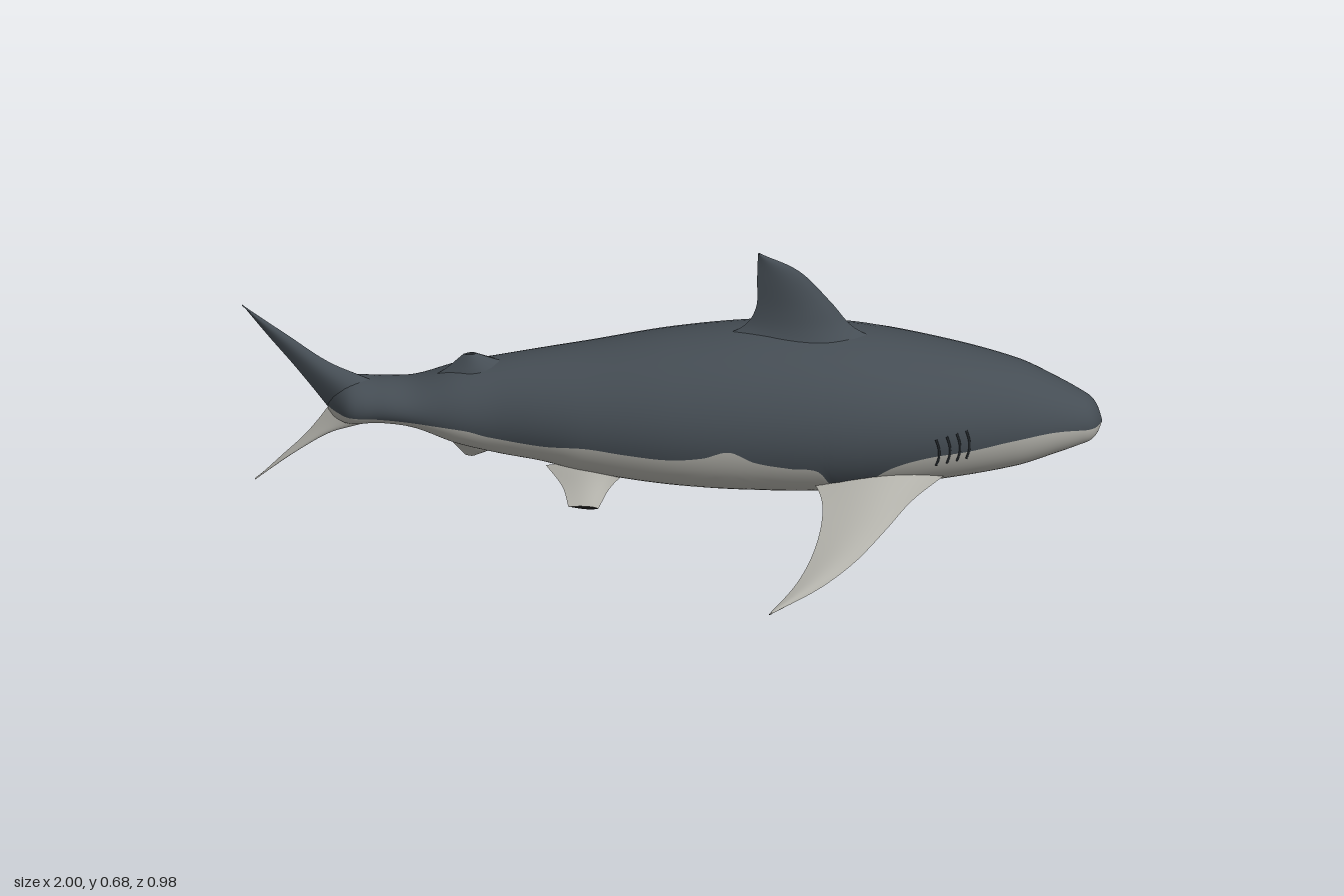
import * as THREE from 'three';

const mat = (name, color, side = THREE.FrontSide) => {
  const m = new THREE.MeshStandardMaterial({ color, side });
  m.name = name;
  return m;
};

// Smooth interpolation of a table whose rows are [x, a, b, ...] with rising x
function sample(table, x, col) {
  const last = table.length - 1;
  let i = 0;
  while (i < last - 1 && x > table[i + 1][0]) i++;
  const slope = k => {
    const a = table[Math.max(k - 1, 0)], b = table[Math.min(k + 1, last)];
    return (b[col] - a[col]) / (b[0] - a[0]);
  };
  const p = table[i], q = table[i + 1], h = q[0] - p[0];
  const t = THREE.MathUtils.clamp((x - p[0]) / h, 0, 1), t2 = t * t, t3 = t2 * t;
  return (2 * t3 - 3 * t2 + 1) * p[col] + (t3 - 2 * t2 + t) * h * slope(i)
    + (3 * t2 - 2 * t3) * q[col] + (t3 - t2) * h * slope(i + 1);
}

// Body stations: x, top, bottom, half width
const BODY = [
  [-0.80, 0.262, 0.245, 0.003], [-0.785, 0.30, 0.225, 0.025], [-0.75, 0.325, 0.215, 0.06],
  [-0.68, 0.325, 0.222, 0.067], [-0.60, 0.327, 0.215, 0.078], [-0.50, 0.362, 0.175, 0.098],
  [-0.40, 0.385, 0.15, 0.108], [-0.30, 0.403, 0.135, 0.128], [-0.20, 0.42, 0.112, 0.15],
  [0.00, 0.457, 0.088, 0.184], [0.20, 0.48, 0.08, 0.198], [0.40, 0.48, 0.085, 0.195],
  [0.60, 0.45, 0.11, 0.168], [0.80, 0.402, 0.146, 0.12], [0.90, 0.355, 0.18, 0.084],
  [0.95, 0.327, 0.199, 0.063], [0.975, 0.31, 0.21, 0.049], [0.99, 0.287, 0.227, 0.03],
  [1.00, 0.257, 0.253, 0.002],
];
// Height of the border between back and belly colours: x, y
const BORDER = [
  [-0.80, 0.254], [-0.60, 0.253], [-0.48, 0.25], [-0.42, 0.235], [-0.30, 0.226], [-0.20, 0.237],
  [-0.10, 0.232], [0.00, 0.23], [0.08, 0.243], [0.14, 0.264], [0.20, 0.236], [0.28, 0.22],
  [0.35, 0.208], [0.38, 0.15], [0.44, 0.14], [0.47, 0.175], [0.52, 0.215], [0.60, 0.24],
  [0.70, 0.25], [0.80, 0.265], [0.90, 0.27], [1.00, 0.254],
];

function section(x) {
  const top = sample(BODY, x, 1), bottom = sample(BODY, x, 2), w = sample(BODY, x, 3);
  const yc = (top + bottom) / 2;
  return { yc, r: (top - bottom) / 2, w };
}

// Closed rings whose corners follow the colour border, so both colours share smooth normals
function bodyGeometry() {
  const RINGS = 190, HALF = 28, N = HALF * 2;
  const pos = [], upper = [], lower = [];
  for (let i = 0; i <= RINGS; i++) {
    const x = -0.8 + 1.8 * (1 - Math.pow(1 - i / RINGS, 1.4));
    const { yc, r, w } = section(x);
    const a = Math.asin(THREE.MathUtils.clamp((sample(BORDER, x, 1) - yc) / r, -0.95, 0.95));
    for (let j = 0; j < N; j++) {
      const th = j < HALF
        ? a + (Math.PI - 2 * a) * j / HALF
        : Math.PI - a + (Math.PI + 2 * a) * (j - HALF) / HALF;
      pos.push(x, yc + r * Math.sin(th), w * Math.cos(th));
    }
  }
  for (let i = 0; i < RINGS; i++) {
    for (let j = 0; j < N; j++) {
      const k = (j + 1) % N, a = i * N + j, b = i * N + k;
      (j < HALF ? upper : lower).push(a, a + N, b, b, a + N, b + N);
    }
  }
  const g = new THREE.BufferGeometry();
  g.setAttribute('position', new THREE.Float32BufferAttribute(pos, 3));
  g.setIndex([...upper, ...lower]);
  g.addGroup(0, upper.length, 0);
  g.addGroup(upper.length, lower.length, 1);
  g.computeVertexNormals();
  return g;
}

// One face of a fin, swept between its leading and trailing edges and bulged along dir
function finFace(lead, trail, thick, dir) {
  const ROWS = 24, COLS = 12, pos = [], idx = [];
  const toCurve = pts => new THREE.CatmullRomCurve3(pts.map(p => new THREE.Vector3(...p)));
  const lc = toCurve(lead), tc = toCurve(trail), d = new THREE.Vector3(...dir);
  const table = thick.map((t, i) => [i / (thick.length - 1), t]);
  for (let i = 0; i <= ROWS; i++) {
    const v = i / ROWS, p = lc.getPoint(v), q = tc.getPoint(v), t = sample(table, v, 1);
    for (let j = 0; j <= COLS; j++) {
      const u = j / COLS;
      const c = p.clone().lerp(q, u).addScaledVector(d, t * Math.sin(Math.PI * Math.pow(u, 0.75)));
      pos.push(c.x, c.y, c.z);
      if (i < ROWS && j < COLS) {
        const a = i * (COLS + 1) + j, b = a + COLS + 1;
        idx.push(a, b, a + 1, a + 1, b, b + 1);
      }
    }
  }
  const g = new THREE.BufferGeometry();
  g.setAttribute('position', new THREE.Float32BufferAttribute(pos, 3));
  g.setIndex(idx);
  g.computeVertexNormals();
  return g;
}

function fin(name, lead, trail, thick, dir, matA, matB = matA) {
  const g = new THREE.Group();
  g.name = name;
  [[dir, matA, 'FaceA'], [dir.map(v => -v), matB, 'FaceB']].forEach(([d, m, suffix]) => {
    const mesh = new THREE.Mesh(finFace(lead, trail, thick, d), m);
    mesh.name = name + suffix;
    g.add(mesh);
  });
  return g;
}

export function createModel() {
  const back = mat('slateBack', 0x454d54), belly = mat('paleBelly', 0xb2b1aa);
  const finDark = mat('slateFin', 0x454d54, THREE.DoubleSide);
  const finPale = mat('paleFin', 0xb2b1aa, THREE.DoubleSide);
  const finUnder = mat('blackFinUnderside', 0x0b0b0b, THREE.DoubleSide);
  const slitDark = mat('gillSlit', 0x23282c);

  const model = new THREE.Group();
  model.name = 'shark';
  const body = new THREE.Mesh(bodyGeometry(), [back, belly]);
  body.name = 'body';
  model.add(body);

  // Fins on the centre line, given as x, y
  const flat = pts => pts.map(([x, y]) => [x, y, 0]);
  const centreFin = (name, lead, trail, thick, m) =>
    model.add(fin(name, flat(lead), flat(trail), thick, [0, 0, 1], m));
  centreFin('dorsalFin',
    [[0.54, 0.44], [0.425, 0.492], [0.37, 0.56], [0.295, 0.643], [0.205, 0.688]],
    [[0.04, 0.44], [0.165, 0.49], [0.195, 0.54], [0.198, 0.62], [0.2, 0.688]],
    [0.075, 0.04, 0.022, 0.011, 0.003], finDark);
  centreFin('secondDorsalFin',
    [[-0.33, 0.37], [-0.41, 0.388], [-0.455, 0.403]],
    [[-0.6, 0.31], [-0.53, 0.357], [-0.485, 0.4]],
    [0.05, 0.028, 0.006], finDark);
  centreFin('analFin',
    [[-0.36, 0.18], [-0.415, 0.147], [-0.455, 0.128]],
    [[-0.6, 0.235], [-0.52, 0.17], [-0.48, 0.127]],
    [0.05, 0.028, 0.006], finPale);
  centreFin('upperTailLobe',
    [[-0.62, 0.29], [-0.72, 0.334], [-0.8, 0.372], [-0.9, 0.446], [-1, 0.52]],
    [[-0.8, 0.25], [-0.835, 0.3], [-0.88, 0.362], [-0.94, 0.44], [-0.998, 0.519]],
    [0.04, 0.025, 0.014, 0.008, 0.003], finDark);
  centreFin('lowerTailLobe',
    [[-0.62, 0.25], [-0.7, 0.217], [-0.78, 0.19], [-0.86, 0.138], [-0.97, 0.05]],
    [[-0.8, 0.25], [-0.825, 0.212], [-0.855, 0.172], [-0.91, 0.113], [-0.968, 0.05]],
    [0.04, 0.025, 0.014, 0.008, 0.004], finPale);

  // Paired fins and gill slits
  for (const s of [1, -1]) {
    const side = s > 0 ? 'right' : 'left';
    const m = pts => pts.map(([x, y, z]) => [x, y, z * s]);
    model.add(fin(side + 'PectoralFin',
      m([[0.64, 0.165, 0.11], [0.565, 0.14, 0.19], [0.51, 0.108, 0.265], [0.44, 0.068, 0.35], [0.36, 0.036, 0.42], [0.248, 0.005, 0.49]]),
      m([[0.32, 0.165, 0.11], [0.355, 0.14, 0.19], [0.357, 0.108, 0.25], [0.338, 0.068, 0.33], [0.302, 0.036, 0.41], [0.244, 0.005, 0.49]]),
      [0.045, 0.025, 0.014, 0.01, 0.007, 0.002], [0, 0.93, 0.37 * s], finPale, finUnder));
    model.add(fin(side + 'PelvicFin',
      m([[-0.1, 0.135, 0.07], [-0.14, 0.11, 0.11], [-0.165, 0.081, 0.155]]),
      m([[-0.29, 0.145, 0.07], [-0.25, 0.11, 0.11], [-0.235, 0.083, 0.152]]),
      [0.03, 0.016, 0.007], [0, 0.85, 0.5 * s], finPale, finUnder));

    [0.62, 0.645, 0.668, 0.69].forEach((x, i) => {
      const pts = [];
      for (let k = 0; k <= 6; k++) {
        const y = 0.215 + i * 0.005 + 0.078 * k / 6;
        const px = x + 0.008 * Math.sin(Math.PI * k / 6);
        const { yc, r, w } = section(px);
        pts.push(new THREE.Vector3(px, y, s * w * Math.sqrt(1 - ((y - yc) / r) ** 2)));
      }
      const slit = new THREE.Mesh(
        new THREE.TubeGeometry(new THREE.CatmullRomCurve3(pts), 12, 0.0028, 6), slitDark);
      slit.name = side + 'GillSlit' + (i + 1);
      model.add(slit);
    });
  }
  return model;
}
